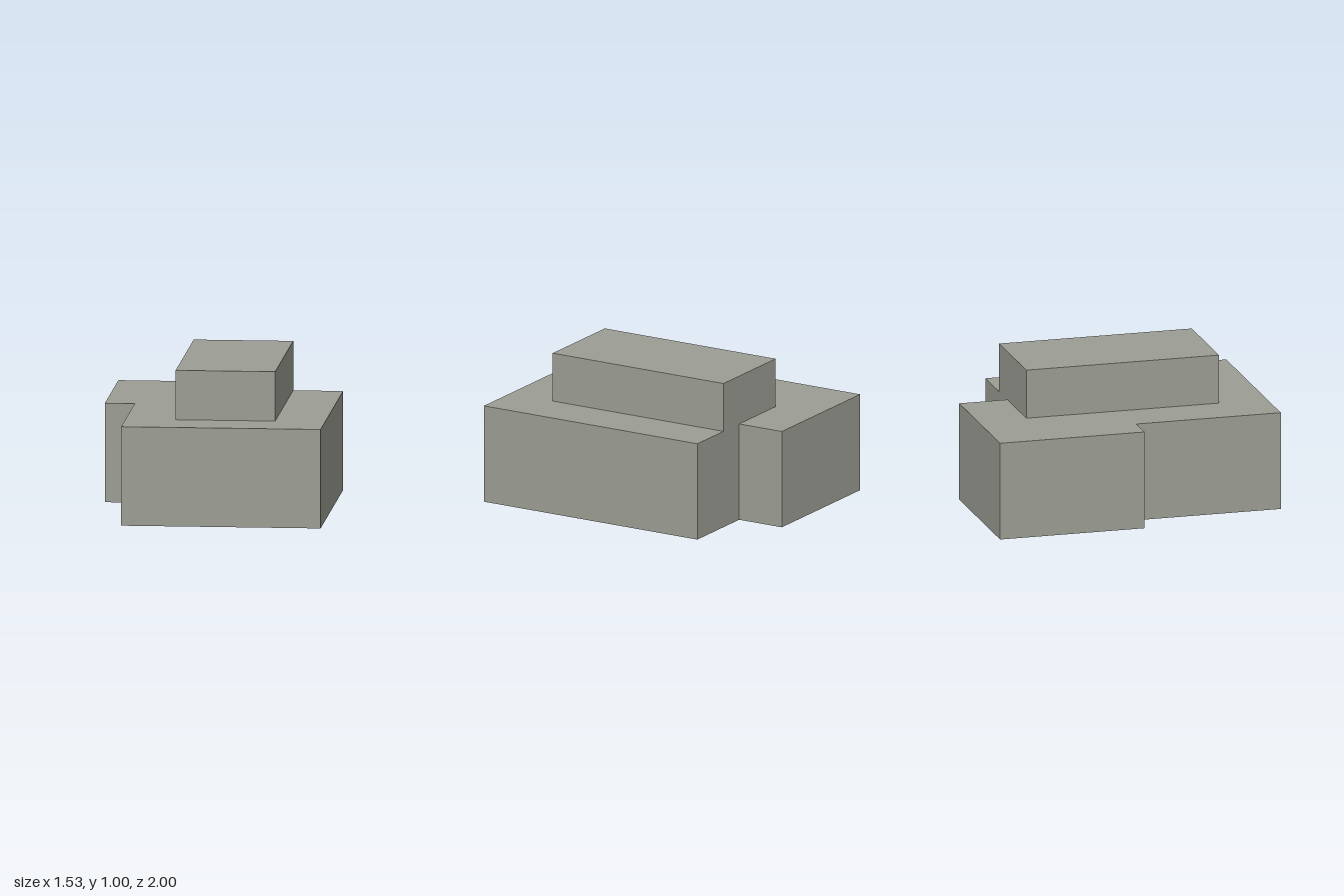
import * as THREE from 'three';

export function createModel() {
  const model = new THREE.Group();
  model.name = 'building';
  const concrete = new THREE.MeshStandardMaterial({ color: 0x9c9e94 });
  concrete.name = 'greyConcrete';

  // Extrudes a floor plan of [x, z] corners upward from y0 to y1
  const addStorey = (name, plan, y0, y1) => {
    const shape = new THREE.Shape(plan.map(([x, z]) => new THREE.Vector2(x, -z)));
    const geometry = new THREE.ExtrudeGeometry(shape, { depth: y1 - y0, bevelEnabled: false });
    geometry.rotateX(-Math.PI / 2).translate(0, y0, 0);
    const mesh = new THREE.Mesh(geometry, concrete);
    mesh.name = name;
    model.add(mesh);
  };

  // Main hall with the offset rear wing, one continuous footprint
  addStorey('lowerStorey', [
    [-0.567, 1], [0.767, 1], [0.767, -0.667], [0.233, -0.667],
    [0.233, -1], [-0.767, -1], [-0.767, 0], [-0.567, 0],
  ], 0, 0.667);

  // Narrower block on the roof, flush with the back wall of the hall
  addStorey('upperStorey', [
    [-0.233, 0.667], [0.433, 0.667], [0.433, -0.667], [-0.233, -0.667],
  ], 0.667, 1);

  return model;
}
